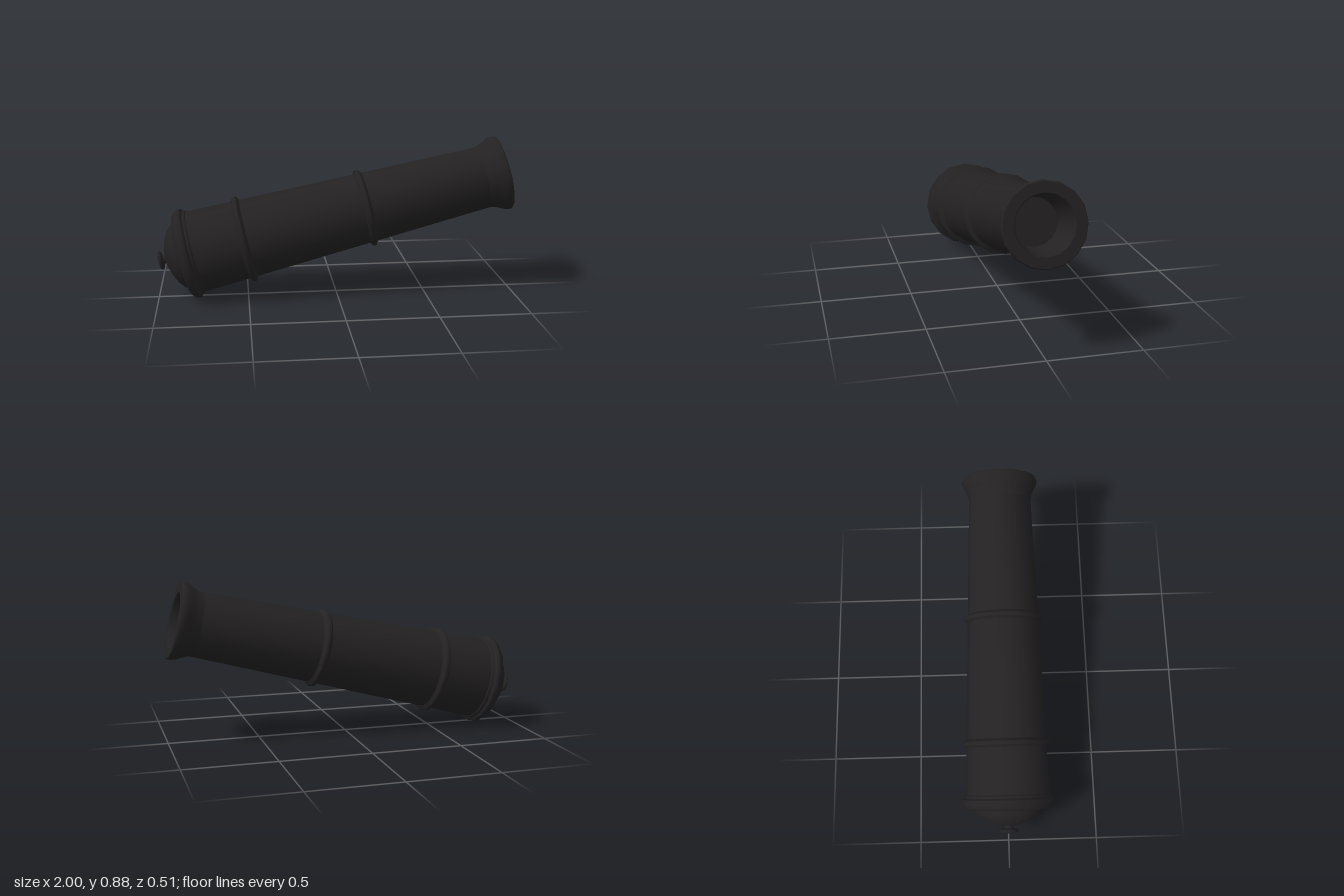
import * as THREE from 'three';
import { toCreasedNormals } from 'three/addons/utils/BufferGeometryUtils.js';

const SIDES = 16;

export function createModel() {
  const model = new THREE.Group();
  model.name = 'cannonBarrel';
  const iron = new THREE.MeshStandardMaterial({ color: 0x232122 });

  // Everything is turned about the bore axis, which is then tilted up
  const axis = new THREE.Group();
  axis.name = 'tiltedBarrel';
  axis.position.set(-0.825, 0.2525, 0);
  axis.rotation.z = THREE.MathUtils.degToRad(13.38 - 90);
  model.add(axis);

  // Profile points are [radius, distance along the axis]
  function turn(name, profile, offset = 0) {
    const points = profile.map(([r, h]) => new THREE.Vector2(r, h + offset));
    const geometry = toCreasedNormals(new THREE.LatheGeometry(points, SIDES), 0.6);
    const mesh = new THREE.Mesh(geometry, iron);
    mesh.name = name;
    axis.add(mesh);
  }

  // Tapering tube
  const bodyRadius = (h) => THREE.MathUtils.mapLinear(h, 0.03, 1.7, 0.232, 0.176);
  turn('barrel', [[bodyRadius(0.03), 0.03], [bodyRadius(1.7), 1.7]]);

  // Flared muzzle with its flat face
  turn('muzzle', [
    [0.176, 1.7], [0.181, 1.728], [0.194, 1.756], [0.208, 1.782],
    [0.213, 1.8], [0.213, 1.817], [0.208, 1.825], [0.153, 1.825],
  ]);

  // Hollow bore, closed by a flat floor
  turn('bore', [[0.153, 1.825], [0.147, 1.813], [0.123, 1.615], [0, 1.615]]);

  // Raised bands round the tube
  for (const [name, h, r] of [['rearBand', 0.319, 0.247], ['frontBand', 1.017, 0.222]]) {
    const base = bodyRadius(h) - 0.003;
    turn(name, [
      [base, -0.027], [base + 0.008, -0.02], [r - 0.003, -0.01], [r, 0],
      [r - 0.003, 0.01], [base + 0.008, 0.02], [base, 0.027],
    ], h);
  }

  // Heavy ring at the breech
  turn('breechRing', [
    [0.19, -0.042], [0.222, -0.042], [0.236, -0.034], [0.249, -0.018], [0.257, 0],
    [0.254, 0.013], [0.241, 0.022], [0.238, 0.036], [0.23, 0.042],
  ]);

  // Domed rear end
  turn('breechDome', [
    [0, -0.133], [0.05, -0.129], [0.1, -0.115], [0.147, -0.091],
    [0.177, -0.066], [0.195, -0.038],
  ]);

  // Knob behind the dome
  turn('knob', [
    [0, -0.174], [0.03, -0.173], [0.049, -0.168], [0.054, -0.16],
    [0.048, -0.152], [0.028, -0.147], [0.024, -0.138], [0.032, -0.126],
  ]);

  return model;
}
